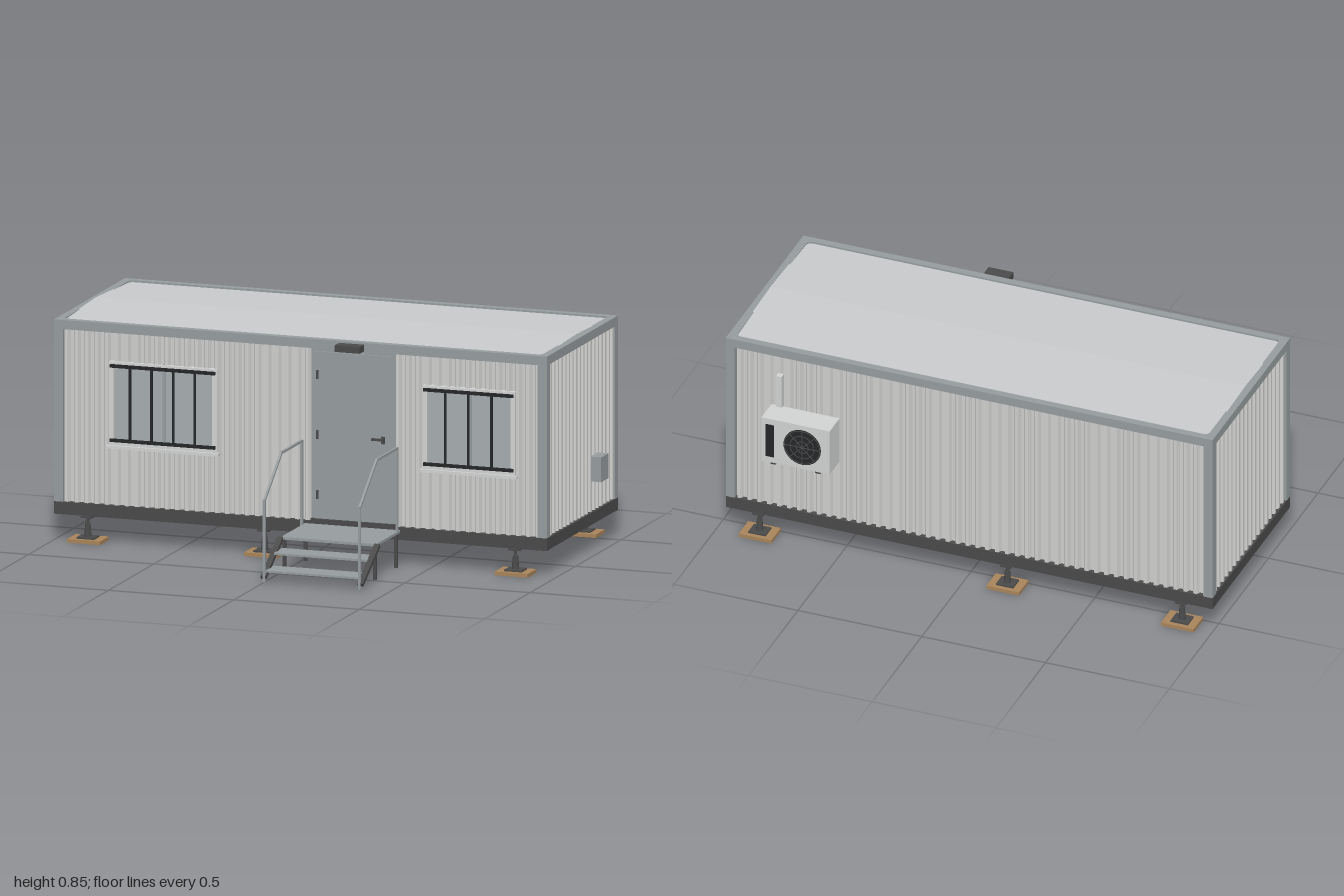
import * as THREE from 'three';

const paint = (name, color, side = THREE.FrontSide) => {
  const m = new THREE.MeshStandardMaterial({ color, side });
  m.name = name;
  return m;
};

export function createModel() {
  const model = new THREE.Group();
  model.name = 'siteCabin';
  const cladding = paint('claddingLightGrey', 0xcfcfcd, THREE.DoubleSide);
  const roofMat = paint('roofGrey', 0xc9cacb, THREE.DoubleSide);
  const steel = paint('steelGrey', 0x969c9e);
  const dark = paint('chassisDarkGrey', 0x4a4a4b);
  const black = paint('barBlack', 0x252627);
  const white = paint('trimWhite', 0xd2d3d3);
  const glass = paint('glassGrey', 0xa6acaf);
  const wood = paint('padWood', 0xa8845a);

  const add = (name, geo, mat, x = 0, y = 0, z = 0) => {
    const m = new THREE.Mesh(geo, mat);
    m.name = name;
    m.position.set(x, y, z);
    model.add(m);
    return m;
  };
  // Box given by its bounds
  const box = (name, mat, x0, x1, y0, y1, z0, z1) =>
    add(name, new THREE.BoxGeometry(x1 - x0, y1 - y0, z1 - z0), mat,
      (x0 + x1) / 2, (y0 + y1) / 2, (z0 + z1) / 2);
  // Square bar between two points
  const bar = (name, mat, a, b, w, h = w) => {
    const p = new THREE.Vector3(...a), q = new THREE.Vector3(...b);
    const c = p.clone().add(q).multiplyScalar(0.5);
    add(name, new THREE.BoxGeometry(w, h, p.distanceTo(q) + w * 0.6), mat, c.x, c.y, c.z).lookAt(q);
  };

  const X0 = -1, X1 = 0.965, Z0 = -0.565, Z1 = 0.22, Y0 = 0.1, YF = 0.148, YR = 0.81, YT = 0.845, P = 0.036;

  // Chassis: perimeter beams and cross members, open between them
  for (const z of [Z0, Z1 - 0.045]) box('chassisLongBeam', dark, X0, X1, Y0, YF, z, z + 0.045);
  for (let i = 0; i < 5; i++) {
    const x = X0 + (X1 - X0 - 0.045) * i / 4;
    box('chassisCrossBeam', dark, x, x + 0.045, Y0 + 0.001, YF - 0.001, Z0 + 0.045, Z1 - 0.045);
  }

  // Corner posts
  for (const x of [X0, X1 - P]) for (const z of [Z0, Z1 - P])
    box('cornerPost', steel, x, x + P, YF, YR, z, z + P);

  // Top rail with a rounded opening for the roof
  const ring = new THREE.Shape();
  ring.moveTo(X0, -Z1).lineTo(X1, -Z1).lineTo(X1, -Z0).lineTo(X0, -Z0).closePath();
  const hole = new THREE.Path();
  const hx0 = X0 + 0.03, hx1 = X1 - 0.03, hy0 = -Z1 + 0.03, hy1 = -Z0 - 0.03, r = 0.02;
  hole.moveTo(hx0 + r, hy0);
  hole.absarc(hx1 - r, hy0 + r, r, -Math.PI / 2, 0);
  hole.absarc(hx1 - r, hy1 - r, r, 0, Math.PI / 2);
  hole.absarc(hx0 + r, hy1 - r, r, Math.PI / 2, Math.PI);
  hole.absarc(hx0 + r, hy0 + r, r, Math.PI, Math.PI * 1.5);
  ring.holes.push(hole);
  add('topRail', new THREE.ExtrudeGeometry(ring, { depth: YT - YR, bevelEnabled: false, curveSegments: 6 })
    .rotateX(-Math.PI / 2), steel, 0, YR, 0);

  // Roof sheet with a low ridge along its length
  let roof = new THREE.PlaneGeometry(X1 - X0 - 0.05, Z1 - Z0 - 0.05, 1, 2).rotateX(-Math.PI / 2);
  for (let i = 0; i < 6; i++) if (i === 2 || i === 3) roof.attributes.position.setY(i, 0.014);
  roof = roof.toNonIndexed();
  roof.computeVertexNormals();
  add('roofSheet', roof, roofMat, (X0 + X1) / 2, 0.838, (Z0 + Z1) / 2);

  // Corrugated sheet facing +z: trapezoid ribs on a common pitch
  const pitch = 0.04, depth = 0.015, knots = [0, 0.013, 0.02, 0.033];
  const ribHeight = u => {
    const t = ((u % pitch) + pitch) % pitch;
    if (t < 0.013) return 0;
    if (t < 0.02) return -depth * (t - 0.013) / 0.007;
    return t < 0.033 ? -depth : -depth * (pitch - t) / 0.007;
  };
  const sheet = (u0, u1, y0, y1) => {
    const us = [u0];
    for (let k = Math.floor(u0 / pitch); k * pitch < u1; k++)
      for (const n of knots) {
        const u = k * pitch + n;
        if (u > u0 + 1e-4 && u < u1 - 1e-4) us.push(u);
      }
    us.push(u1);
    const n = us.length;
    let g = new THREE.PlaneGeometry(1, 1, n - 1, 1);
    for (let i = 0; i < 2 * n; i++)
      g.attributes.position.setXYZ(i, us[i % n], i < n ? y1 : y0, ribHeight(us[i % n] + 1e-6));
    g = g.toNonIndexed();
    g.computeVertexNormals();
    return g;
  };

  // Front wall, leaving openings for the windows and door
  const windows = [{ x0: -0.78, x1: -0.35, bars: 4 }, { x0: 0.47, x1: 0.84, bars: 3 }];
  const wy0 = 0.38, wy1 = 0.7, D0 = 0.025, D1 = 0.362;
  const front = (a, b, y0, y1) => add('frontWall', sheet(a, b, y0, y1), cladding, 0, 0, Z1 - 0.006);
  front(X0 + P, windows[0].x0, YF, YR);
  front(windows[0].x1, D0, YF, YR);
  front(D1, windows[1].x0, YF, YR);
  front(windows[1].x1, X1 - P, YF, YR);
  for (const w of windows) {
    front(w.x0, w.x1, YF, wy0);
    front(w.x0, w.x1, wy1, YR);
  }

  // Back and end walls
  add('backWall', sheet(-X1 + P, -X0 - P, YF, YR).rotateY(Math.PI), cladding, 0, 0, Z0 + 0.006);
  add('rightEndWall', sheet(-Z1 + P, -Z0 - P, YF, YR).rotateY(Math.PI / 2), cladding, X1 - 0.006, 0, 0);
  add('leftEndWall', sheet(Z0 + P, Z1 - P, YF, YR).rotateY(-Math.PI / 2), cladding, X0 + 0.006, 0, 0);

  // Windows: frame, panes, mullion, sill and security bars
  for (const { x0, x1, bars } of windows) {
    const mid = (x0 + x1) / 2;
    box('windowPane', glass, x0 + 0.01, x1 - 0.01, wy0, wy1, 0.196, 0.205);
    for (const x of [x0, x1 - 0.018]) box('windowJamb', white, x, x + 0.018, wy0, wy1, 0.19, 0.222);
    box('windowHead', white, x0, x1, wy1 - 0.016, wy1, 0.19, 0.222);
    box('windowFoot', white, x0, x1, wy0, wy0 + 0.018, 0.19, 0.222);
    box('windowMullion', steel, mid - 0.005, mid + 0.005, wy0, wy1, 0.2, 0.21);
    box('windowSill', white, x0 - 0.008, x1 + 0.008, 0.368, 0.38, 0.18, 0.232);
    for (const y of [0.4, 0.685]) box('securityRail', black, x0 + 0.006, x1 - 0.006, y - 0.006, y + 0.006, 0.222, 0.232);
    for (let i = 1; i <= bars; i++) {
      const x = x0 + (x1 - x0) * i / (bars + 1);
      box('securityBar', black, x - 0.004, x + 0.004, 0.4, 0.685, 0.223, 0.231);
    }
  }

  // Door with frame, hinges and handle
  box('doorFrame', steel, D0, D1, YF, YR, 0.19, 0.212);
  box('doorLeaf', steel, D0 + 0.012, D1 - 0.012, YF + 0.01, YR - 0.012, 0.205, 0.217);
  for (const y of [0.25, 0.48, 0.71]) box('doorHinge', dark, 0.046, 0.053, y - 0.017, y + 0.017, 0.214, 0.223);
  box('doorHandlePlate', dark, 0.305, 0.318, 0.462, 0.49, 0.215, 0.221);
  box('doorHandle', dark, 0.27, 0.318, 0.475, 0.484, 0.226, 0.234);
  box('doorHandleStem', dark, 0.308, 0.316, 0.475, 0.484, 0.216, 0.228);
  box('doorSill', dark, D0, D1, YF, YF + 0.01, 0.2, 0.226);

  // Lamp above the door
  box('lamp', dark, 0.14, 0.24, 0.815, 0.84, 0.228, 0.277);
  box('lampBracket', dark, 0.17, 0.21, 0.82, 0.835, 0.215, 0.23);

  // Screw jacks on timber pads
  for (const x of [-0.87, -0.165, 0.835]) for (const z of [0.205, -0.547]) {
    box('timberPad', wood, x - 0.066, x + 0.066, 0, 0.014, z - 0.048, z + 0.048);
    box('jackFoot', dark, x - 0.035, x + 0.035, 0.014, 0.02, z - 0.03, z + 0.03);
    add('jackBody', new THREE.CylinderGeometry(0.01, 0.014, 0.052, 16), dark, x, 0.045, z);
    add('jackScrew', new THREE.CylinderGeometry(0.006, 0.006, 0.03, 12), dark, x, 0.08, z);
    box('jackHead', dark, x - 0.022, x + 0.022, 0.093, 0.1, z - 0.022, z + 0.022);
  }

  // Entrance platform and treads
  box('platform', steel, 0.005, 0.385, 0.13, 0.14, 0.232, 0.495);
  box('upperTread', steel, 0.01, 0.38, 0.09, 0.098, 0.495, 0.588);
  box('lowerTread', steel, 0.01, 0.38, 0.041, 0.049, 0.588, 0.68);

  // Stair sides: legs, stringer and handrail, mirrored about the door centre
  for (const s of [-1, 1]) {
    const x = 0.195 + s * 0.18, rx = 0.195 + s * 0.19;
    for (const z of [0.252, 0.482]) box('platformLeg', dark, x - 0.006, x + 0.006, 0, 0.13, z - 0.006, z + 0.006);
    bar('stringer', dark, [0.195 + s * 0.193, 0.132, 0.497], [0.195 + s * 0.193, 0.024, 0.674], 0.022, 0.014);
    const path = [[rx, 0.14, 0.267], [rx, 0.462, 0.267], [rx, 0.462, 0.492], [rx, 0.316, 0.679], [rx, 0.005, 0.679]];
    for (let i = 0; i < 4; i++) bar('handrail', steel, path[i], path[i + 1], 0.009);
  }

  // Air conditioner on the back wall
  box('airConditioner', white, 0.5, 0.775, 0.415, 0.605, -0.68, -0.578);
  for (const x of [0.54, 0.72]) box('airConditionerBracket', dark, x, x + 0.02, 0.405, 0.415, -0.675, -0.56);
  const fx = 0.61, fy = 0.51, fz = -0.681;
  add('fanOpening', new THREE.CylinderGeometry(0.075, 0.075, 0.004, 32).rotateX(Math.PI / 2), black, fx, fy, fz);
  for (const q of [0.025, 0.048, 0.071])
    add('fanGuard', new THREE.TorusGeometry(q, 0.0018, 6, 32), dark, fx, fy, fz - 0.002);
  for (let i = 0; i < 4; i++) {
    const spoke = add('fanSpoke', new THREE.BoxGeometry(0.144, 0.003, 0.002), dark, fx, fy, fz - 0.003);
    spoke.rotation.z = i * Math.PI / 4;
  }
  box('sideVent', black, 0.725, 0.757, 0.44, 0.58, -0.682, -0.679);
  box('pipeDuct', white, 0.73, 0.752, 0.57, 0.74, -0.59, -0.565);

  // Electrical box on the end wall
  box('electricalBox', steel, 0.955, 1, 0.265, 0.36, -0.365, -0.283);

  return model;
}
